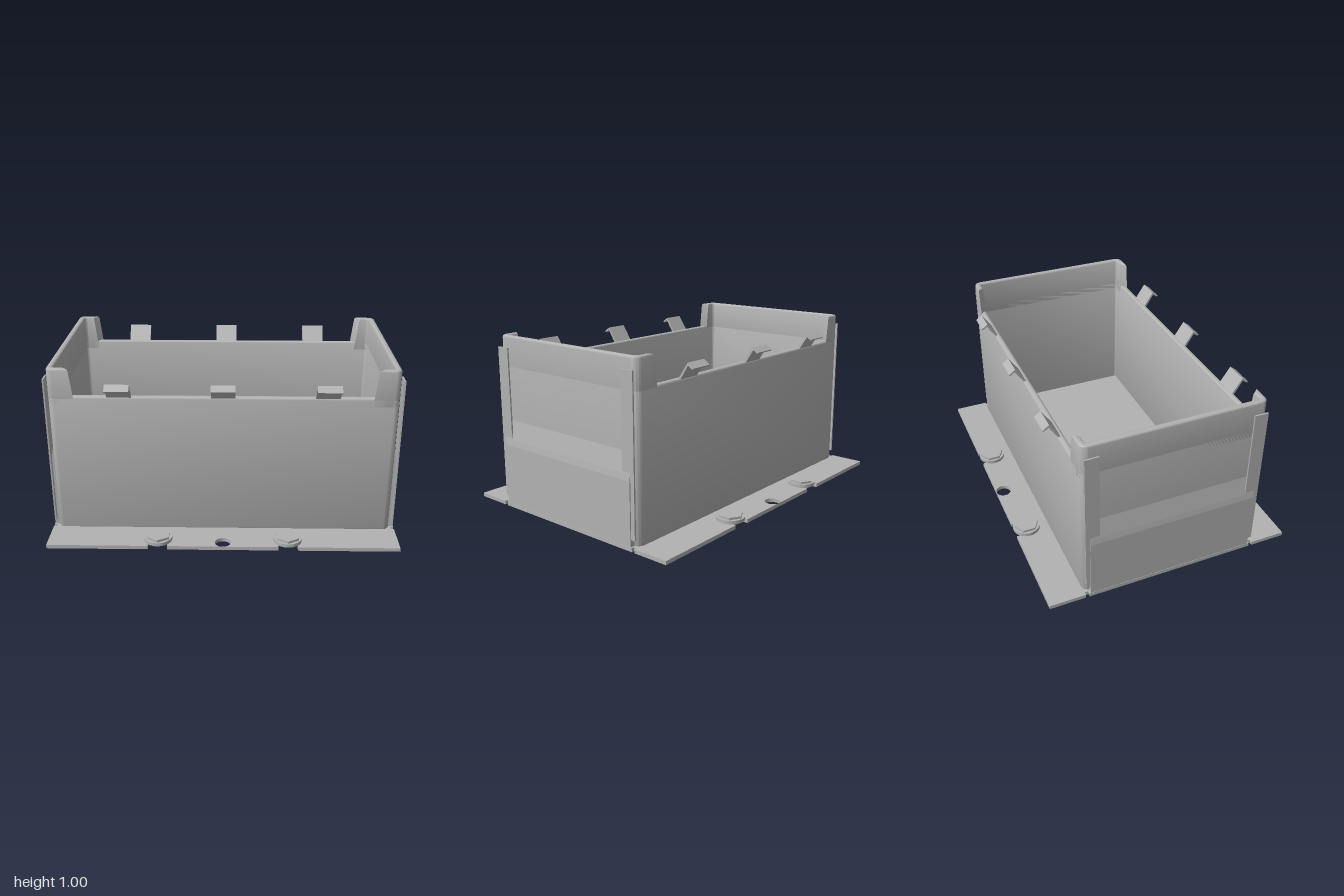
import * as THREE from 'three';
import { toCreasedNormals } from 'three/addons/utils/BufferGeometryUtils.js';

const steel = new THREE.MeshStandardMaterial({ color: 0xb2b2b2 });
steel.name = 'grey steel';

const add = (parent, name, geometry) => {
  const mesh = new THREE.Mesh(geometry, steel);
  mesh.name = name;
  parent.add(mesh);
  return mesh;
};

// Rounded rectangle outline with half sizes w, d
function roundRect(p, w, d, r) {
  p.moveTo(w, -d + r).lineTo(w, d - r).absarc(w - r, d - r, r, 0, Math.PI / 2);
  p.absarc(-w + r, d - r, r, Math.PI / 2, Math.PI);
  p.absarc(-w + r, -d + r, r, Math.PI, Math.PI * 1.5);
  p.absarc(w - r, -d + r, r, Math.PI * 1.5, Math.PI * 2);
  return p;
}

// Plan shape pulled up from y0 to y1, edges rounded by bevel
function upright(shape, y0, y1, bevel = 0) {
  const g = new THREE.ExtrudeGeometry(shape, {
    depth: y1 - y0 - 2 * bevel, bevelEnabled: bevel > 0, bevelThickness: bevel,
    bevelSize: bevel, bevelOffset: -bevel, bevelSegments: 4, curveSegments: 10,
  });
  g.rotateX(-Math.PI / 2).translate(0, y0 + bevel, 0);
  return toCreasedNormals(g, 0.6);
}

// Side profile in (u, y) swept along a centred width
function swept(points, width) {
  const shape = new THREE.Shape(points.map(([u, y]) => new THREE.Vector2(u, y)));
  return new THREE.ExtrudeGeometry(shape, { depth: width, bevelEnabled: false })
    .translate(0, 0, -width / 2);
}

// Mounting plate with open bolt slots, round holes and small corner notches
function basePlate() {
  const quarter = [[1, -0.73], [1, -0.52], [0.982, -0.52], [0.982, -0.5], [1, -0.5]];
  const s = new THREE.Shape();
  s.moveTo(-1, -0.73);
  for (const x of [-0.37, 0.37]) {
    s.lineTo(x - 0.055, -0.73).lineTo(x - 0.055, -0.65);
    s.absarc(x, -0.65, 0.055, Math.PI, 0, true);
    s.lineTo(x + 0.055, -0.73);
  }
  quarter.forEach(([x, z]) => s.lineTo(x, z));
  [...quarter].reverse().forEach(([x, z]) => s.lineTo(x, -z));
  for (const x of [0.37, -0.37]) {
    s.lineTo(x + 0.055, 0.73).lineTo(x + 0.055, 0.65);
    s.absarc(x, 0.65, 0.055, 0, Math.PI, true);
    s.lineTo(x - 0.055, 0.73);
  }
  quarter.forEach(([x, z]) => s.lineTo(-x, -z));
  [...quarter].reverse().forEach(([x, z]) => s.lineTo(-x, z));
  for (const z of [-0.685, 0.685]) {
    s.holes.push(new THREE.Path().absarc(0, z, 0.046, 0, Math.PI * 2, true));
  }
  return upright(s, 0, 0.022);
}

// Tall end wall with returns round both corners, each return widening downward
function endWall() {
  const w = 0.97, d = 0.525, t = 0.037, r = 0.04, tip = 0.855;
  const s = new THREE.Shape();
  s.moveTo(tip - 0.01, -d).lineTo(w - r, -d).absarc(w - r, -d + r, r, -Math.PI / 2, 0);
  s.lineTo(w, d - r).absarc(w - r, d - r, r, 0, Math.PI / 2);
  s.lineTo(tip - 0.01, d).lineTo(tip + 0.02, d - t).lineTo(w - t - 0.015, d - t);
  s.absarc(w - t - 0.015, d - t - 0.015, 0.015, Math.PI / 2, 0, true);
  s.lineTo(w - t, -d + t + 0.015);
  s.absarc(w - t - 0.015, -d + t + 0.015, 0.015, 0, -Math.PI / 2, true);
  s.lineTo(tip + 0.02, -d + t);
  const g = upright(s, 0.78, 1.005, 0.014);
  const p = g.attributes.position;
  for (let i = 0; i < p.count; i++) {
    if (p.getX(i) < 0.9) {
      const down = 1.005 - p.getY(i);
      p.setX(i, p.getX(i) - 0.1 * down - 0.9 * Math.max(0, down - 0.15) ** 2);
    }
  }
  return toCreasedNormals(g, 0.6);
}

// Thin upright strip beside the end panel, wide above and narrow below
function stripGeometry() {
  const s = new THREE.Shape([[0.515, 0.06], [0.515, 0.94], [0.435, 0.94], [0.435, 0.42],
    [0.488, 0.42], [0.488, 0.06]].map(([z, y]) => new THREE.Vector2(z, y)));
  return new THREE.ExtrudeGeometry(s, { depth: 0.009, bevelEnabled: false })
    .rotateY(-Math.PI / 2).translate(0.992, 0, 0);
}

export function createModel() {
  const model = new THREE.Group();
  model.name = 'mountingBox';
  add(model, 'basePlate', basePlate());

  // Box body: floor, wall ring and the two raised ends
  const ring = roundRect(new THREE.Shape(), 0.97, 0.525, 0.04);
  ring.holes.push(roundRect(new THREE.Path(), 0.933, 0.488, 0.015));
  add(model, 'walls', upright(ring, 0.012, 0.845, 0.014));
  add(model, 'floor', new THREE.BoxGeometry(1.88, 0.035, 0.99).translate(0, 0.035, 0));

  for (const side of [1, -1]) {
    const end = new THREE.Group();
    end.name = side > 0 ? 'leftEnd' : 'rightEnd';
    end.rotation.y = side > 0 ? 0 : Math.PI;
    model.add(end);
    add(end, 'endWall', endWall());
    // Lower panel that slopes back into the wall at its top
    add(end, 'endPanel', swept(
      [[0.96, 0.022], [0.998, 0.022], [0.998, 0.375], [0.993, 0.41], [0.97, 0.52], [0.96, 0.52]], 0.98));
    const strip = stripGeometry();
    add(end, 'frontStrip', strip);
    add(end, 'backStrip', strip.clone().translate(-0.9875, 0, 0).rotateY(Math.PI)
      .translate(0.9875, 0, 0));
  }

  // Spring clips along both long rims
  const clip = swept([[0.5, 0.83], [0.513, 0.825], [0.572, 0.917], [0.6, 0.898],
    [0.606, 0.906], [0.569, 0.933]], 0.135).rotateY(-Math.PI / 2);
  // Hexagon bolt with washer and shank
  const hex = new THREE.CylinderGeometry(0.072, 0.072, 0.02, 6).toNonIndexed();
  hex.computeVertexNormals();
  const washer = new THREE.CylinderGeometry(0.08, 0.08, 0.02, 32);
  const shank = new THREE.CylinderGeometry(0.045, 0.045, 0.024, 24);

  for (const face of [1, -1]) {
    const edge = new THREE.Group();
    edge.name = face > 0 ? 'frontFittings' : 'backFittings';
    edge.rotation.y = face > 0 ? 0 : Math.PI;
    model.add(edge);
    for (const x of [-0.575, 0, 0.575]) add(edge, 'clip', clip).position.x = x;
    for (const x of [-0.37, 0.37]) {
      const bolt = new THREE.Group();
      bolt.name = 'bolt';
      bolt.position.set(x, 0, 0.654);
      edge.add(bolt);
      add(bolt, 'boltHead', hex).position.y = 0.046;
      add(bolt, 'washer', washer).position.y = 0.032;
      add(bolt, 'shank', shank).position.y = 0.014;
    }
  }
  return model;
}
